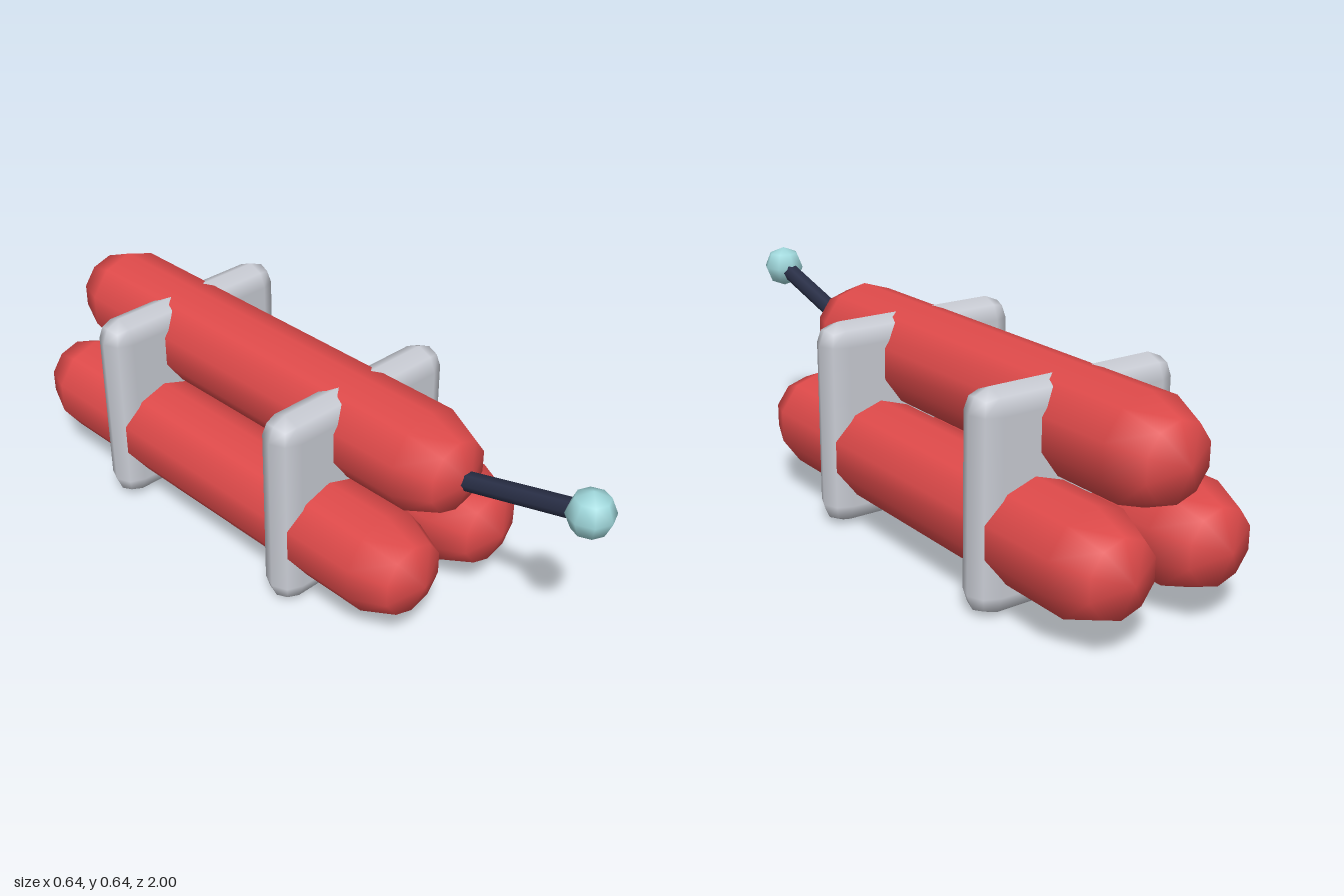
import * as THREE from 'three';
import { RoundedBoxGeometry } from 'three/addons/geometries/RoundedBoxGeometry.js';

const material = (name, color) => new THREE.MeshStandardMaterial({ name, color });

export function createModel() {
  const red = material('red', 0xdf4a4a);
  const grey = material('light grey', 0xc9ccd4);
  const navy = material('dark navy', 0x2a3048);
  const aqua = material('pale aqua', 0xa0d8dc);

  const model = new THREE.Group();
  model.name = 'stickBundle';
  const add = (name, geometry, mat, x, y, z) => {
    const mesh = new THREE.Mesh(geometry, mat);
    mesh.name = name;
    mesh.position.set(x, y, z);
    model.add(mesh);
    return mesh;
  };

  // Three round-ended sticks lying along z, with a corner of the decagon on top
  const stick = new THREE.CapsuleGeometry(0.149, 1.272, 2, 10, 1);
  stick.rotateY(Math.PI / 2).rotateX(Math.PI / 2);
  add('leftStick', stick, red, 0.157, 0.219, -0.215);
  add('rightStick', stick, red, -0.157, 0.219, -0.215);
  add('topStick', stick, red, 0, 0.474, -0.215);

  // Two rounded bands holding the sticks together
  const band = new RoundedBoxGeometry(0.637, 0.603, 0.125, 1, 0.0625);
  add('frontBand', band, grey, 0, 0.3015, 0.147);
  add('rearBand', band, grey, 0, 0.3015, -0.565);

  // Six-sided fuse rising from the top stick to its glowing tip
  const start = new THREE.Vector3(0, 0.466, 0.52);
  const end = new THREE.Vector3(0, 0.579, 0.936);
  const direction = end.clone().sub(start);
  const fuseShape = new THREE.CylinderGeometry(0.027, 0.027, direction.length(), 6);
  fuseShape.rotateY(Math.PI / 2);
  const middle = start.clone().add(end).multiplyScalar(0.5);
  const fuse = add('fuse', fuseShape, navy, middle.x, middle.y, middle.z);
  fuse.quaternion.setFromUnitVectors(new THREE.Vector3(0, 1, 0), direction.normalize());

  add('fuseTip', new THREE.SphereGeometry(0.064, 8, 4), aqua, end.x, end.y, end.z);

  return model;
}
